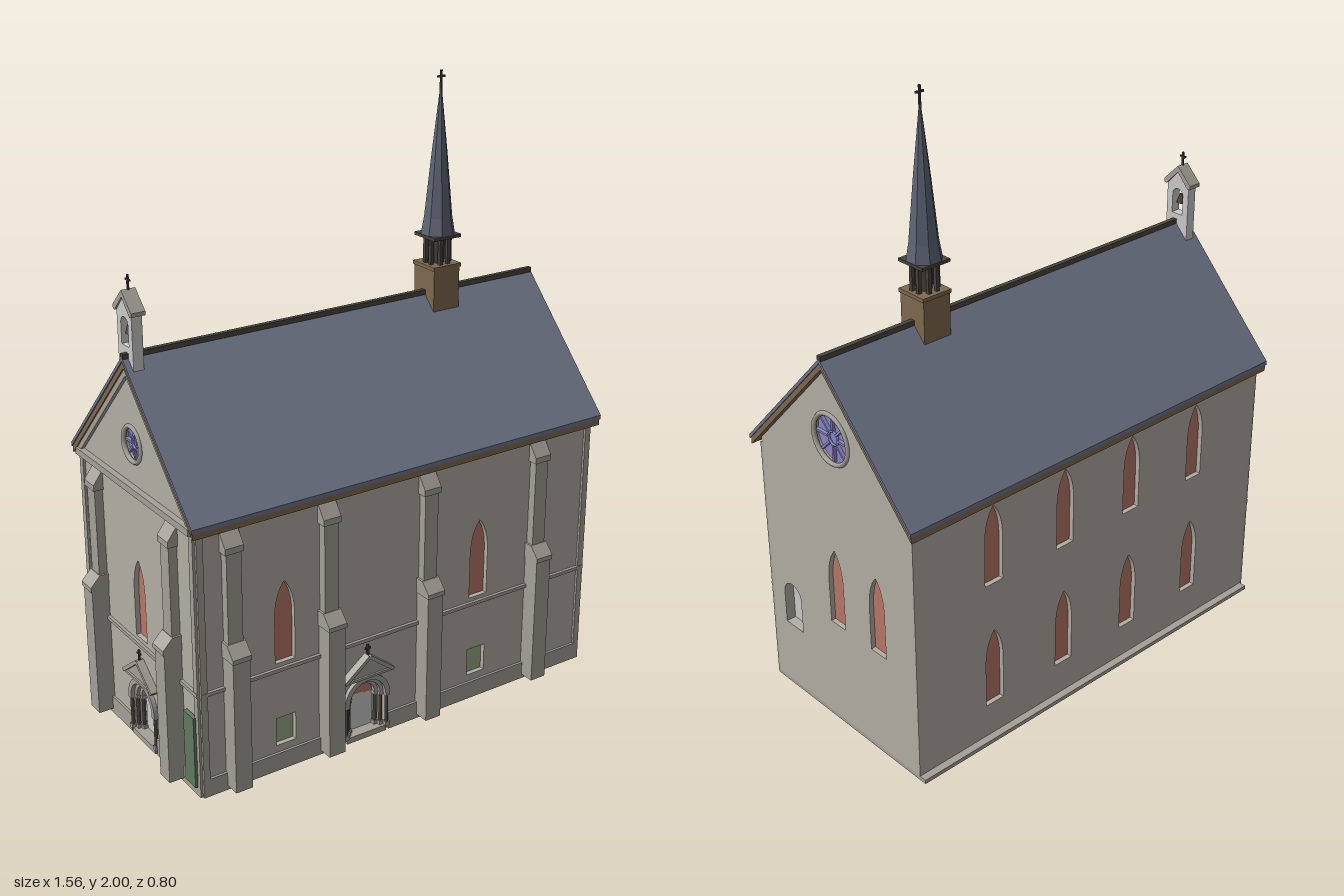
import * as THREE from 'three';

const mat = (color, extra = {}) => new THREE.MeshStandardMaterial({ color, ...extra });
const STONE = mat(0xb3afa6), TRIM = mat(0xa5a198), SLATE = mat(0x70768a), WOOD = mat(0x80694f),
  DARK = mat(0x4a443e), PINK = mat(0xb87868), GREEN = mat(0x9ca787), BLUE = mat(0x8a86c6),
  PALE = mat(0xcccccc), IRON = mat(0x3a3a3a);

// Overall layout
const XL = -0.72, XR = 0.755, ZF = 0.34, ZB = -0.37, ZC = -0.0165, EAVE = 0.89, SKIN = 0.04;

function add(parent, name, geo, material, x = 0, y = 0, z = 0) {
  const m = new THREE.Mesh(geo, material);
  m.name = name;
  m.position.set(x, y, z);
  parent.add(m);
  return m;
}
const box = (p, name, m, w, h, d, x, y, z) => add(p, name, new THREE.BoxGeometry(w, h, d), m, x, y, z);
const poly = pts => new THREE.Shape(pts.map(([x, y]) => new THREE.Vector2(x, y)));
const extrude = (shape, depth) => new THREE.ExtrudeGeometry(shape, { depth, bevelEnabled: false, curveSegments: 12 });

// Opening outlines
function lancet(x, y, w = 0.07, h = 0.27) {
  const s = new THREE.Shape(), a = w / 2;
  s.moveTo(x - a, y);
  s.lineTo(x + a, y);
  s.lineTo(x + a, y + h * 0.55);
  s.quadraticCurveTo(x + a, y + h * 0.85, x, y + h);
  s.quadraticCurveTo(x - a, y + h * 0.85, x - a, y + h * 0.55);
  return s;
}
function arch(x, y, r, spring) {
  const s = new THREE.Shape();
  s.moveTo(x - r, y);
  s.lineTo(x + r, y);
  s.lineTo(x + r, spring);
  s.absarc(x, spring, r, 0, Math.PI, false);
  return s;
}
const rect = (x, y, w, h) => poly([[x - w / 2, y], [x + w / 2, y], [x + w / 2, y + h], [x - w / 2, y + h]]);
const disc = (x, y, r) => new THREE.Shape().absarc(x, y, r, 0, Math.PI * 2, false);

// Wall skin with cut openings; each opening is { shape, mat, name, depth }
function wall(parent, name, outline, openings, angle, x, z) {
  const g = new THREE.Group();
  g.name = name;
  g.rotation.y = angle;
  g.position.set(x, 0, z);
  parent.add(g);
  openings.forEach(o => outline.holes.push(o.shape));
  add(g, name + 'Stone', extrude(outline, SKIN), STONE, 0, 0, -SKIN);
  openings.filter(o => o.mat).forEach(o =>
    add(g, o.name, extrude(o.shape, o.depth ?? 0.025), o.mat, 0, 0, -SKIN - 0.001));
  return g;
}
const win = (x, y) => ({ shape: lancet(x, y), mat: PINK, name: 'lancetWindow' });

// Stepped buttress with sloping caps, standing out along +z
function buttress(parent, x) {
  const g = new THREE.Group();
  g.name = 'buttress';
  g.position.x = x;
  parent.add(g);
  const side = (name, w, pts) => {
    const m = add(g, name, extrude(poly(pts), w), TRIM, w / 2, 0, 0);
    m.rotation.y = -Math.PI / 2;
  };
  side('lowerStage', 0.058, [[0, 0.015], [0.058, 0.015], [0.058, 0.46], [0, 0.46]]);
  side('lowerCap', 0.064, [[0, 0.455], [0.063, 0.455], [0.063, 0.47], [0.03, 0.505], [0, 0.505]]);
  side('upperStage', 0.05, [[0, 0.45], [0.028, 0.45], [0.028, 0.8], [0, 0.8]]);
  side('upperCap', 0.062, [[0, 0.795], [0.033, 0.795], [0.033, 0.815], [0, 0.86]]);
}

function cross(parent, y, h, x = 0, z = 0, alongZ = false) {
  box(parent, 'crossUpright', IRON, 0.006, h, 0.006, x, y + h / 2, z);
  box(parent, 'crossArm', IRON, alongZ ? 0.006 : h * 0.45, 0.006, alongZ ? h * 0.45 : 0.006, x, y + h * 0.7, z);
}

// Arched doorway with stepped orders, small columns and a gable
function portal(parent, x) {
  const g = new THREE.Group();
  g.name = 'portal';
  g.position.x = x;
  parent.add(g);
  const ring = (name, ro, ri, z, d) => {
    const s = arch(0, 0.135, ro, 0.14);
    s.holes.push(arch(0, 0.1351, ri, 0.14));
    const half = new THREE.Shape().absarc(0, 0.14, ro, 0, Math.PI, false);
    half.absarc(0, 0.14, ri, Math.PI, 0, true);
    add(g, name, extrude(half, d), TRIM, 0, 0, z);
  };
  ring('outerArch', 0.085, 0.068, -0.02, 0.034);
  ring('middleArch', 0.07, 0.056, -0.03, 0.03);
  ring('innerArch', 0.058, 0.044, -0.038, 0.026);
  for (const s of [-1, 1]) {
    [[0.077, 0.006], [0.063, -0.008], [0.05, -0.02]].forEach(([cx, z]) => {
      add(g, 'column', new THREE.CylinderGeometry(0.006, 0.006, 0.1, 10), DARK, s * cx, 0.08, z);
      box(g, 'capital', TRIM, 0.016, 0.012, 0.016, s * cx, 0.135, z);
      box(g, 'columnBase', TRIM, 0.016, 0.016, 0.016, s * cx, 0.024, z);
    });
    const rake = box(g, 'gableRake', TRIM, 0.116, 0.012, 0.028, s * 0.046, 0.262, 0.012);
    rake.rotation.z = -s * 0.66;
  }
  add(g, 'tympanum', extrude(arch(0, 0.14, 0.046, 0.141), 0.012), PINK, 0, 0, -0.04);
  box(g, 'door', PALE, 0.09, 0.13, 0.012, 0, 0.08, -0.034);
  add(g, 'gablePanel', extrude(poly([[-0.088, 0.225], [0.088, 0.225], [0, 0.295]]), 0.016), TRIM);
  box(g, 'gableSill', TRIM, 0.18, 0.008, 0.024, 0, 0.226, 0.01);
  box(g, 'doorstep', TRIM, 0.15, 0.02, 0.05, 0, 0.01, -0.015);
  cross(g, 0.292, 0.045, 0, 0.012);
}

// Wheel window tracery
function rose(parent, x, y, r) {
  const g = new THREE.Group();
  g.name = 'roseWindow';
  g.position.set(x, y, 0);
  parent.add(g);
  add(g, 'roseFrame', new THREE.TorusGeometry(r, 0.008, 6, 32), TRIM);
  add(g, 'roseHub', new THREE.TorusGeometry(r * 0.27, 0.004, 6, 16), BLUE, 0, 0, -0.01);
  for (let i = 0; i < 8; i++) {
    const a = i * Math.PI / 4;
    const m = box(g, 'roseSpoke', BLUE, r * 0.7, 0.007, 0.012, Math.cos(a) * r * 0.63, Math.sin(a) * r * 0.63, -0.011);
    m.rotation.z = a;
  }
}

// Plinth, string course and corner strips of a decorated wall
function bands(g, x0, x1) {
  const w = x1 - x0, c = (x0 + x1) / 2;
  box(g, 'stringCourse', TRIM, w, 0.012, 0.012, c, 0.35, 0.004);
  for (const x of [x0 + 0.011, x1 - 0.011]) box(g, 'cornerStrip', TRIM, 0.022, 0.86, 0.01, x, 0.44, 0.003);
}
function plinth(g, x0, x1, gap) {
  for (const [a, b] of [[x0, gap - 0.085], [gap + 0.085, x1]])
    box(g, 'plinth', TRIM, b - a, 0.06, 0.01, (a + b) / 2, 0.03, 0.003);
}

// Chevron cross-section swept along x
function chevron(parent, name, m, x0, x1, half, top, thick, slope = 1.045) {
  const e = top - half * slope;
  const s = poly([[-half, e], [-half, e - thick], [0, top - thick], [half, e - thick], [half, e], [0, top]]);
  const r = add(parent, name, extrude(s, x1 - x0), m, x0, 0, ZC);
  r.rotation.y = Math.PI / 2;
}

export function createModel() {
  const root = new THREE.Group();
  root.name = 'chapel';

  // Inner core and base slab
  const xc = (XL + XR) / 2;
  box(root, 'core', STONE, XR - XL - 2 * SKIN, EAVE, ZF - ZB - 2 * SKIN, xc, EAVE / 2, (ZF + ZB) / 2);
  box(root, 'baseSlab', TRIM, XR - XL, 0.014, ZF + 0.395, xc, 0.007, (ZF - 0.395) / 2);

  // Front wall
  const x0 = XL + SKIN, x1 = XR - SKIN, px = -0.13, bays = [-0.425, 0.31];
  const front = wall(root, 'frontWall', poly([[x0, 0], [x1, 0], [x1, EAVE], [x0, EAVE]]), [
    ...bays.map(x => win(x, 0.37)),
    ...bays.map(x => ({ shape: rect(x, 0.085, 0.07, 0.095), mat: GREEN, name: 'lowWindow' })),
    { shape: arch(px, 0.002, 0.075, 0.14) }], 0, 0, ZF);
  bands(front, XL, XR);
  plinth(front, XL, XR, px);
  portal(front, px);
  [-0.61, -0.275, 0.095, 0.535].forEach(x => buttress(front, x));
  for (let i = 0; i < 20; i++) box(front, 'corbel', TRIM, 0.022, 0.022, 0.016, -0.695 + i * 0.075, 0.872, 0.006);

  // Back wall with two rows of windows
  const backWins = [];
  for (const y of [0.13, 0.57]) for (const x of [-0.45, -0.157, 0.134, 0.43]) backWins.push(win(x, y));
  wall(root, 'backWall', poly([[-x1, 0], [-x0, 0], [-x0, EAVE], [-x1, EAVE]]), backWins, Math.PI, 0, ZB);

  // Gable walls
  const gable = (a, b, c) => poly([[a, 0], [b, 0], [b, EAVE], [c, 1.262], [a, EAVE]]);
  const right = wall(root, 'rightWall', gable(-ZF, -ZB, -ZC), [
    win(0, 0.37), win(0.195, 0.37),
    { shape: arch(-0.235, 0.24, 0.043, 0.357), mat: PALE, name: 'niche', depth: 0.008 },
    { shape: disc(-ZC, 1.03, 0.08), mat: BLUE, name: 'roseGlass' }], Math.PI / 2, XR, 0);
  rose(right, -ZC, 1.03, 0.08);

  const left = wall(root, 'leftWall', gable(ZB, ZF, ZC), [
    win(ZC, 0.37), { shape: arch(ZC, 0.002, 0.075, 0.14) },
    { shape: disc(ZC, 1.02, 0.055), mat: BLUE, name: 'roseGlass' }], -Math.PI / 2, XL, 0);
  rose(left, ZC, 1.02, 0.055);
  bands(left, ZB, ZF);
  plinth(left, ZB, ZF, ZC);
  portal(left, ZC);
  [-0.26, 0.21].forEach(z => buttress(left, z));
  box(left, 'gableCornice', TRIM, ZF - ZB, 0.022, 0.03, ZC, 0.88, 0.005);
  for (const z of [-0.325, 0.295]) box(left, 'sidePanel', mat(0x5f7a62), 0.06, 0.24, 0.014, z, 0.15, 0.01);

  // Roof, boarded edge and ridge
  chevron(root, 'roofBoards', WOOD, -0.737, 0.777, 0.379, 1.283, 0.022);
  chevron(root, 'roofSlates', SLATE, -0.741, 0.781, 0.381, 1.297, 0.014);
  chevron(root, 'gableRakeMoulding', TRIM, -0.732, -0.715, 0.355, 1.262, 0.025);
  box(root, 'ridge', DARK, 1.52, 0.016, 0.016, 0.02, 1.298, ZC);

  // Ridge turret with slate spire
  const turret = new THREE.Group();
  turret.name = 'turret';
  turret.position.set(0.39, 0, ZC);
  root.add(turret);
  box(turret, 'turretBase', WOOD, 0.1, 0.16, 0.104, 0, 1.3, 0);
  box(turret, 'turretSill', WOOD, 0.108, 0.012, 0.11, 0, 1.384, 0);
  add(turret, 'lanternCore', new THREE.CylinderGeometry(0.022, 0.022, 0.1, 8), DARK, 0, 1.43, 0);
  for (let i = 0; i < 8; i++) {
    const a = (i + 0.5) * Math.PI / 4;
    box(turret, 'lanternPost', DARK, 0.012, 0.095, 0.012, Math.cos(a) * 0.038, 1.432, Math.sin(a) * 0.038);
  }
  box(turret, 'spireEave', DARK, 0.106, 0.01, 0.106, 0, 1.48, 0);
  const profile = [[0.056, 1.483], [0.046, 1.54], [0.026, 1.74], [0.003, 1.945]].map(p => new THREE.Vector2(...p));
  add(turret, 'spire', new THREE.LatheGeometry(profile, 8, Math.PI / 8),
    mat(0x5d6474, { flatShading: true, side: THREE.DoubleSide }));
  cross(turret, 1.935, 0.065);

  // Bell gable on the left end of the ridge
  const bell = new THREE.Group();
  bell.name = 'bellGable';
  bell.position.set(-0.705, 0, ZC - 0.008);
  bell.rotation.y = -Math.PI / 2;
  root.add(bell);
  const bs = poly([[-0.045, 1.23], [0.045, 1.23], [0.045, 1.43], [0, 1.48], [-0.045, 1.43]]);
  bs.holes.push(arch(0, 1.325, 0.022, 1.39));
  add(bell, 'bellArch', extrude(bs, 0.034), PALE, 0, 0, -0.017);
  const cap = poly([[-0.056, 1.425], [-0.046, 1.422], [0, 1.472], [0.046, 1.422], [0.056, 1.425], [0.056, 1.437], [0, 1.493], [-0.056, 1.437]]);
  add(bell, 'bellRoof', extrude(cap, 0.046), TRIM, 0, 0, -0.023);
  add(bell, 'bell', new THREE.CylinderGeometry(0.006, 0.014, 0.03, 12), DARK, 0, 1.375, 0);
  cross(bell, 1.485, 0.05);
  return root;
}
